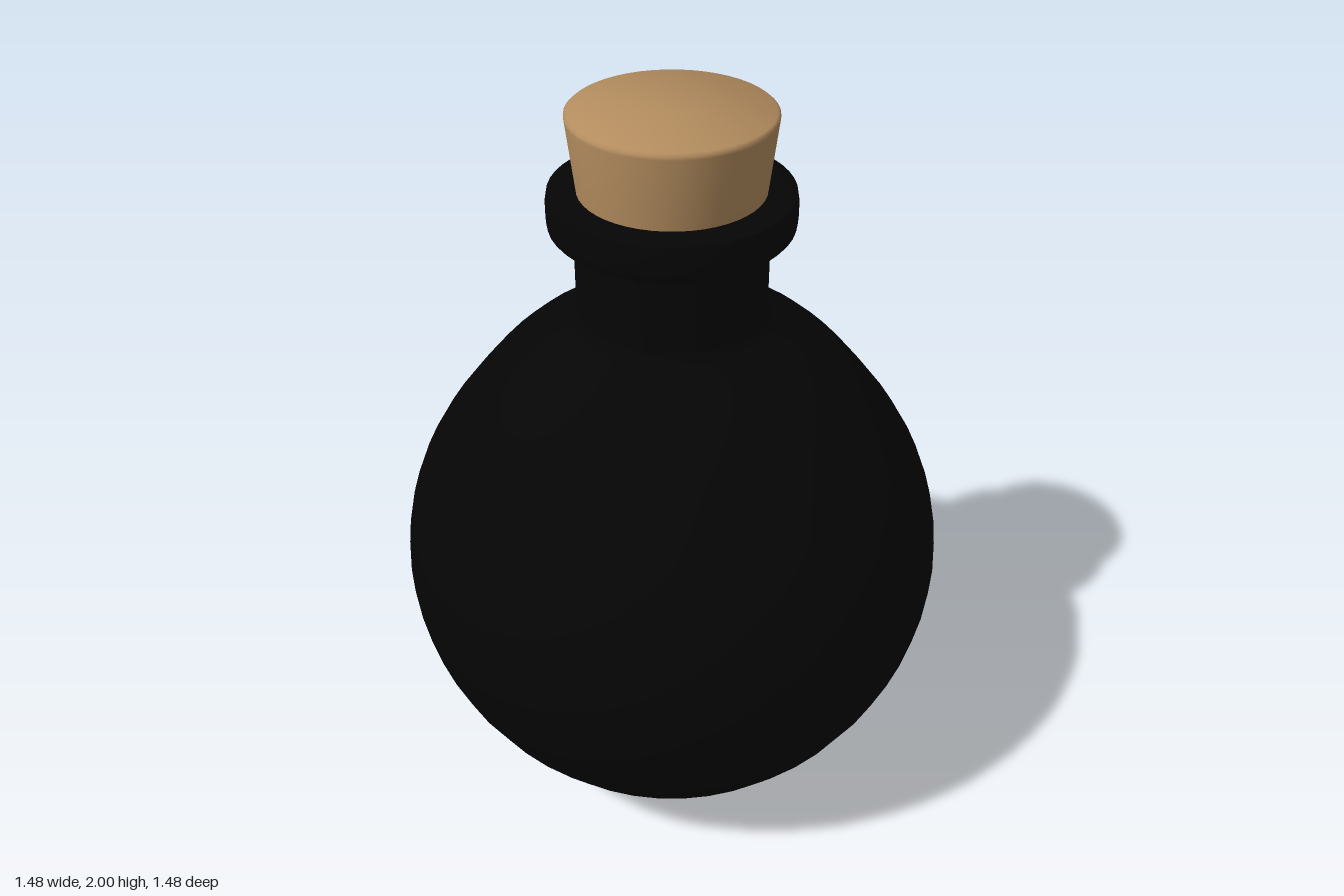
import * as THREE from 'three';
import { toCreasedNormals } from 'three/addons/utils/BufferGeometryUtils.js';

const glass = new THREE.MeshStandardMaterial({ name: 'black glass', color: 0x050505 });
const corkTan = new THREE.MeshStandardMaterial({ name: 'cork tan', color: 0xb48d5f });

// Revolve a [radius, height] profile listed from bottom to top
function turned(name, profile, material, segments = 48) {
  const points = profile.map(([r, y]) => new THREE.Vector2(r, y));
  const geometry = toCreasedNormals(new THREE.LatheGeometry(points, segments), 0.9);
  const mesh = new THREE.Mesh(geometry, material);
  mesh.name = name;
  return mesh;
}

export function createModel() {
  const model = new THREE.Group();
  model.name = 'corkedFlask';

  // Round belly with a small flat base
  model.add(turned('belly', [
    [0, 0], [0.24, 0], [0.28, 0.007], [0.32, 0.022], [0.38, 0.055], [0.435, 0.1], [0.488, 0.15],
    [0.535, 0.2], [0.612, 0.3], [0.668, 0.4], [0.708, 0.5], [0.732, 0.6], [0.742, 0.7],
    [0.736, 0.8], [0.715, 0.9], [0.677, 1.0], [0.62, 1.1], [0.545, 1.2],
    [0.505, 1.25], [0.46, 1.3], [0.4, 1.354], [0.335, 1.402], [0.265, 1.445],
    [0.25, 1.458], [0.245, 1.475],
  ], glass));

  // Straight neck
  model.add(turned('neck', [[0.245, 1.475], [0.245, 1.69]], glass));

  // Rolled lip, closed around the stopper
  model.add(turned('lip', [
    [0.245, 1.68], [0.25, 1.692], [0.265, 1.697], [0.298, 1.699], [0.308, 1.71],
    [0.311, 1.73], [0.311, 1.775], [0.307, 1.797], [0.3, 1.8], [0.22, 1.8],
  ], glass));

  // Tapered stopper with a slightly softened rim
  model.add(turned('stopper', [
    [0, 1.7], [0.222, 1.7], [0.235, 1.8], [0.257, 1.985], [0.257, 1.994], [0.25, 2], [0, 2],
  ], corkTan));

  return model;
}
